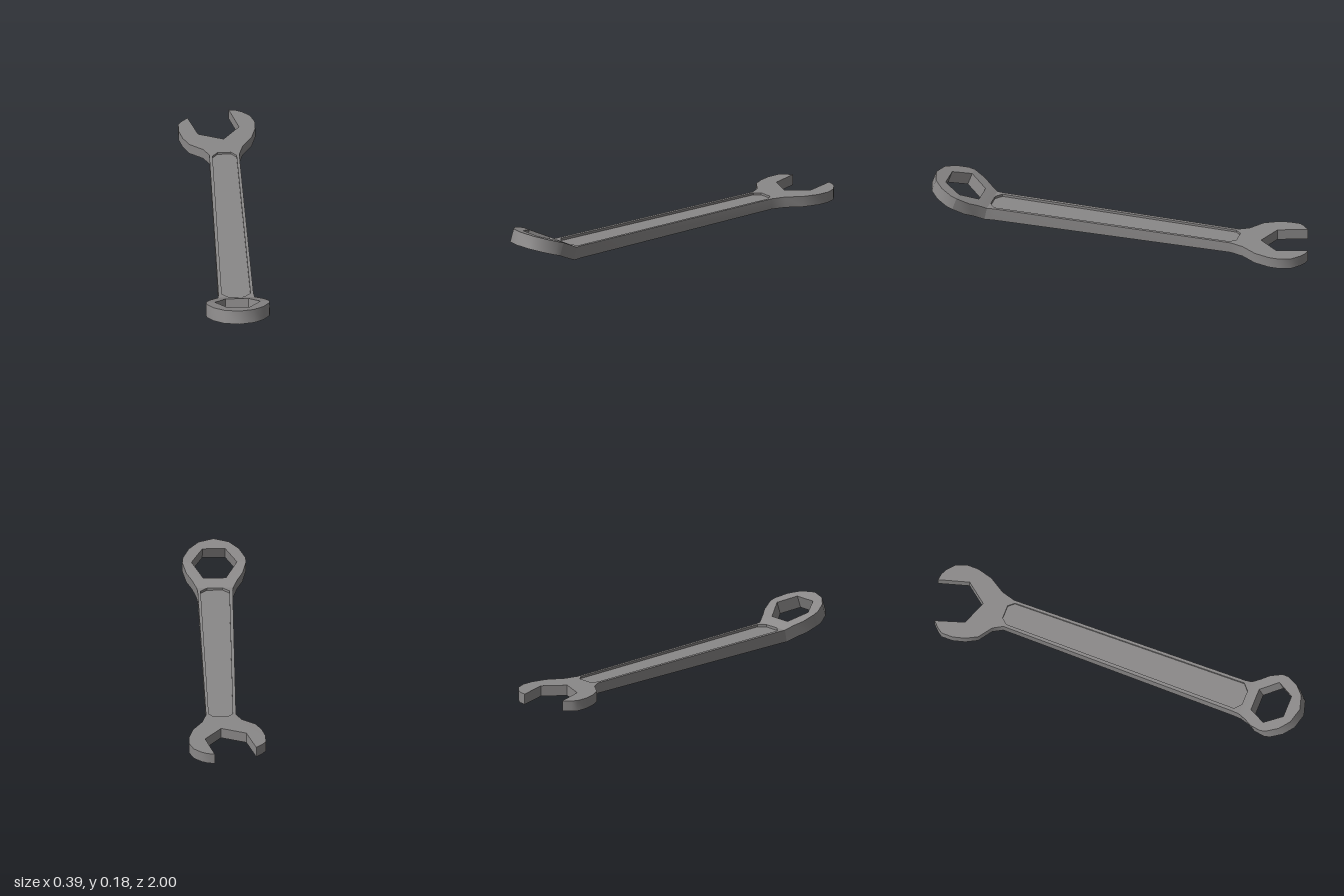
import * as THREE from 'three';
import { toCreasedNormals } from 'three/addons/utils/BufferGeometryUtils.js';

const CX = 0.025;    // centre line of the handle
const BEND = 0.69;   // where the ring end starts to rise
const MID = 0.835;   // middle of the ring

const path = (pts) => pts.map(([x, z]) => new THREE.Vector2(x, -z));
const mirror = (pts) => pts.map(([w, z]) => [CX - w, z]).reverse();
const right = (pts) => pts.map(([w, z]) => [CX + w, z]);

// Height gained along the raised ring end
function rise(z) {
  if (z < BEND) return 0;
  return 0.48 * (Math.min(z, MID) - BEND) + 0.31 * Math.max(0, z - MID);
}

// Extrude a plan outline, then taper its thickness and bend the ring end up
function forge(name, outline, hole, material, fraction = 1) {
  const shape = new THREE.Shape(path(outline));
  if (hole) shape.holes.push(new THREE.Path(path(hole)));
  const geo = new THREE.ExtrudeGeometry(shape, { depth: 2, bevelEnabled: false });
  geo.rotateX(-Math.PI / 2);
  const p = geo.attributes.position;
  for (let i = 0; i < p.count; i++) {
    const z = p.getZ(i);
    const half = 0.0275 + 0.005 * THREE.MathUtils.clamp((z + 0.6) / 1.29, 0, 1);
    const dy = (p.getY(i) - 1) * half * fraction;
    const lean = z < 0.685 ? 0 : z < 0.7 ? 0.2 : 0.35;
    p.setY(i, 0.0325 + dy + rise(z));
    p.setZ(i, z - dy * lean);
  }
  const mesh = new THREE.Mesh(toCreasedNormals(geo, 0.65), material);
  mesh.name = name;
  return mesh;
}

export function createModel() {
  const steel = new THREE.MeshStandardMaterial({ color: 0x8a8888 });
  steel.name = 'steel grey';
  const group = new THREE.Group();
  group.name = 'wrench';

  // Handle with the angled open jaw
  const body = [
    [CX - 0.093, BEND], [CX + 0.093, BEND], [0.113, 0.65],
    [0.1, -0.6], [0.12, -0.67], [0.17, -0.75], [0.192, -0.83], [0.192, -0.89],
    [0.17, -0.945], [0.13, -0.98], [0.1, -0.995], [0.065, -1],
    [0.11, -0.845], [0.027, -0.74], [-0.1, -0.79],
    [-0.147, -0.937], [-0.18, -0.905], [-0.197, -0.88], [-0.197, -0.82],
    [-0.18, -0.757], [-0.15, -0.7], [-0.08, -0.65], [-0.052, -0.6], [-0.065, 0.65],
  ];
  // Long recess with clipped corners, floored by a thinner web
  const side = [[0.039, 0.68], [0.073, 0.65], [0.061, -0.59], [0.035, -0.62]];
  const recess = [...right(side), ...mirror(side)];
  group.add(forge('handleAndOpenJaw', body, recess, steel));
  group.add(forge('recessedWeb', recess, null, steel, 0.6));

  // Ring end in two halves that meet at the points of the hexagonal hole
  const hexX = 0.115, hexW = 0.058, hexZ = 0.088;
  const rear = [[hexW, MID - hexZ], [hexX, MID], [0.162, MID], [0.143, 0.775], [0.115, 0.735], [0.093, BEND]];
  const front = [[hexW, MID + hexZ], [hexX, MID], [0.162, MID], [0.158, 0.865],
    [0.127, 0.923], [0.077, 0.968], [0, 0.99]];
  group.add(forge('ringNeckHalf', [...right(rear), ...mirror(rear)], null, steel));
  group.add(forge('ringFrontHalf', [...right(front), ...mirror(front.slice(0, -1))], null, steel));
  return group;
}
